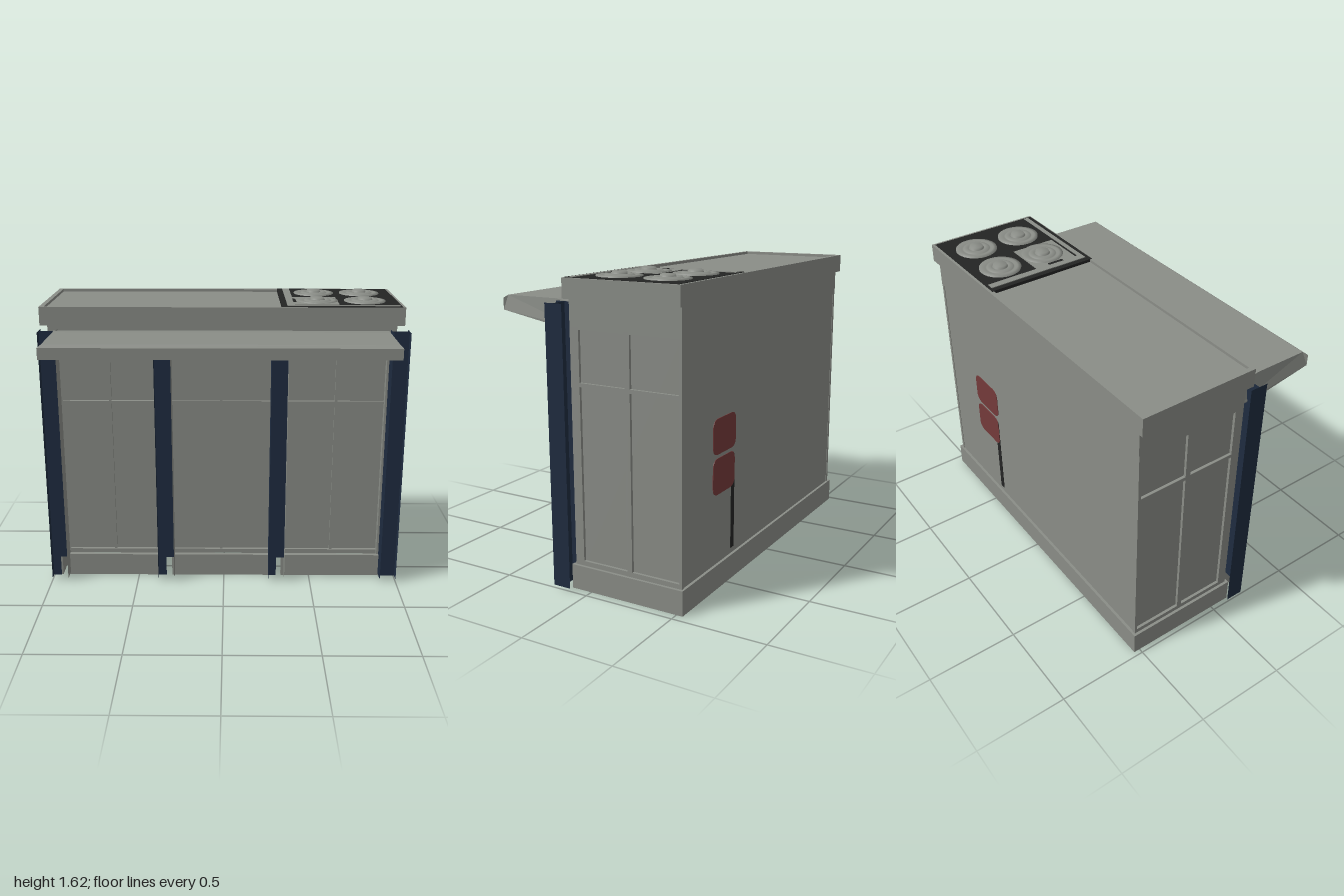
import * as THREE from 'three';

const mat = (name, color, side = THREE.FrontSide) => {
  const m = new THREE.MeshStandardMaterial({ color, side });
  m.name = name;
  return m;
};

export function createModel() {
  const grey = mat('concreteGrey', 0x8a8d87, THREE.DoubleSide);
  const navy = mat('navySteel', 0x1f2c40, THREE.DoubleSide);
  const black = mat('roofBlack', 0x232423);
  const red = mat('signRed', 0x743a3a);
  const root = new THREE.Group();
  root.name = 'building';

  const add = (name, geo, m, parent = root) => {
    const mesh = new THREE.Mesh(geo, m);
    mesh.name = name;
    parent.add(mesh);
    return mesh;
  };
  const group = (name) => {
    const g = new THREE.Group();
    g.name = name;
    root.add(g);
    return g;
  };
  // box from its limits on each axis
  const box = (name, m, x0, x1, y0, y1, z0, z1, parent) => {
    const b = add(name, new THREE.BoxGeometry(x1 - x0, y1 - y0, z1 - z0), m, parent);
    b.position.set((x0 + x1) / 2, (y0 + y1) / 2, (z0 + z1) / 2);
  };
  const rect = (T, x0, x1, y0, y1) =>
    new T([[x0, y0], [x1, y0], [x1, y1], [x0, y1]].map((p) => new THREE.Vector2(...p)));

  const columns = [-0.953, -0.335, 0.305, 0.953];

  // hollow plinth, its front wall notched behind each column
  const plinth = group('plinth');
  box('plinthBack', grey, -0.975, 0.955, 0, 0.13, -0.535, -0.51, plinth);
  box('plinthRight', grey, -0.975, -0.95, 0, 0.13, -0.51, 0.115, plinth);
  box('plinthLeft', grey, 0.93, 0.955, 0, 0.13, -0.51, 0.115, plinth);
  for (let i = 0; i < 3; i++)
    box('plinthFront', grey, columns[i] + 0.03, columns[i + 1] - 0.03, 0, 0.13, 0.09, 0.115, plinth);

  // body and upper band
  box('body', grey, -0.945, 0.925, 0.12, 1.36, -0.52, 0.06);
  box('upperBand', grey, -0.96, 0.94, 1.35, 1.5, -0.525, 0.1);

  // roof cap with a raised rim and shallow deck
  const cap = rect(THREE.Shape, -1, 0.98, -0.11, 0.54);
  cap.holes.push(rect(THREE.Path, -0.975, 0.955, -0.09, 0.515));
  const capGeo = new THREE.ExtrudeGeometry(cap, { depth: 0.1, bevelEnabled: false });
  capGeo.rotateX(-Math.PI / 2).translate(0, 1.49, 0);
  add('roofRim', capGeo, grey);
  box('roofDeck', grey, -0.98, 0.96, 1.49, 1.575, -0.52, 0.095);

  // front glazing: three bays, each with a centre mullion and a transom
  const front = group('frontFrames');
  for (const [x0, x1] of [[-0.905, -0.37], [-0.3, 0.27], [0.34, 0.915]]) {
    const c = (x0 + x1) / 2;
    box('mullion', grey, c - 0.007, c + 0.007, 0.14, 1.35, 0.055, 0.075, front);
    box('transom', grey, x0, x1, 1.042, 1.056, 0.055, 0.075, front);
    box('sill', grey, x0, x1, 0.125, 0.15, 0.055, 0.078, front);
  }
  for (const c of [-0.938, -0.335, 0.305, 0.918])
    box('pier', grey, c - 0.022, c + 0.022, 0.125, 1.36, 0.05, 0.1, front);

  // side frames around four panes on each end
  for (const [label, x0, x1] of [['rightFrames', -0.96, -0.94], ['leftFrames', 0.92, 0.94]]) {
    const g = group(label);
    for (const [z0, z1] of [[-0.523, -0.508], [-0.24, -0.212], [0.058, 0.078]])
      box('sideMullion', grey, x0, x1, 0.125, 1.36, z0, z1, g);
    for (const [y0, y1] of [[0.125, 0.155], [1.06, 1.08], [1.34, 1.36]])
      box('sideRail', grey, x0, x1, y0, y1, -0.523, 0.078, g);
  }

  // open steel columns of sheet metal: two fins joined by a web
  columns.forEach((c, i) => {
    const g = group('column');
    const [l, r] = [c - 0.045, c + 0.047];
    const top = i === 1 || i === 2 ? 1.44 : 1.468;
    const last = i === 3;
    const fin = (name, m, x) => {
      const p = add(name, new THREE.PlaneGeometry(0.1, top - 0.015), m, g);
      p.rotation.y = Math.PI / 2;
      p.position.set(x, (top + 0.015) / 2, 0.15);
    };
    const web = (x0, x1, y0) => {
      const p = add('web', new THREE.PlaneGeometry(x1 - x0, top - y0), navy, g);
      p.position.set((x0 + x1) / 2, (top + y0) / 2, 0.15);
    };
    fin('outerFin', navy, l);
    fin('innerFin', last ? navy : grey, r);
    web(l, c, 0.015);
    web(c, r, last ? 0.015 : 0.13);
  });

  // wedge-shaped canopy, chamfered round its top edge
  const wedge = new THREE.Shape([[0.09, 1.34], [0.2, 1.34], [0.54, 1.4], [0.54, 1.46],
    [0.52, 1.475], [0.22, 1.475], [0.09, 1.46]].map((p) => new THREE.Vector2(...p)));
  const canopy = new THREE.ExtrudeGeometry(wedge, { depth: 1.83, bevelEnabled: false });
  canopy.rotateY(-Math.PI / 2).translate(0.9, 0, 0);
  const pos = canopy.attributes.position;
  for (let i = 0; i < pos.count; i++)
    if (pos.getY(i) > 1.47) pos.setX(i, THREE.MathUtils.clamp(pos.getX(i), -0.91, 0.885));
  canopy.computeVertexNormals();
  add('canopy', canopy, grey);

  // roof plant: dark pad level with the rim, pale ducts and four round vents
  const plant = group('roofPlant');
  box('pad', black, 0.315, 0.965, 1.56, 1.592, -0.525, 0.103, plant);
  box('duct', grey, 0.345, 0.385, 1.57, 1.596, -0.51, 0.08, plant);
  box('duct', grey, 0.385, 0.955, 1.57, 1.595, 0.055, 0.08, plant);
  box('ductBase', grey, 0.385, 0.63, 1.57, 1.595, -0.21, 0.04, plant);
  box('ductGap', black, 0.382, 0.4, 1.57, 1.597, -0.13, -0.04, plant);
  const profile = [[0.115, 1.575], [0.115, 1.597], [0.095, 1.6], [0.08, 1.596], [0.072, 1.596],
    [0.07, 1.602], [0.052, 1.604], [0.045, 1.599], [0.04, 1.6], [0.036, 1.614], [0, 1.616]];
  const vent = new THREE.LatheGeometry(profile.map((p) => new THREE.Vector2(...p)), 28);
  for (const x of [0.52, 0.785])
    for (const z of [-0.36, -0.09]) add('vent', vent, grey, plant).position.set(x, 0, z);

  // painted sign on the back wall
  const sign = group('backSign');
  const plate = (x0, x1, y0, y1, r) => {
    const s = new THREE.Shape();
    s.moveTo(x0 + r, y0).lineTo(x1 - r, y0).quadraticCurveTo(x1, y0, x1, y0 + r);
    s.lineTo(x1, y1 - r).quadraticCurveTo(x1, y1, x1 - r, y1);
    s.lineTo(x0 + r, y1).quadraticCurveTo(x0, y1, x0, y1 - r);
    s.lineTo(x0, y0 + r).quadraticCurveTo(x0, y0, x0 + r, y0);
    const geo = new THREE.ExtrudeGeometry(s, { depth: 0.004, bevelEnabled: false });
    add('signPlate', geo, red, sign).position.z = -0.523;
  };
  plate(0.385, 0.63, 0.71, 0.895, 0.05);
  plate(0.395, 0.63, 0.5, 0.69, 0.05);
  box('signPost', black, 0.395, 0.43, 0.16, 0.67, -0.522, -0.518, sign);

  return root;
}
